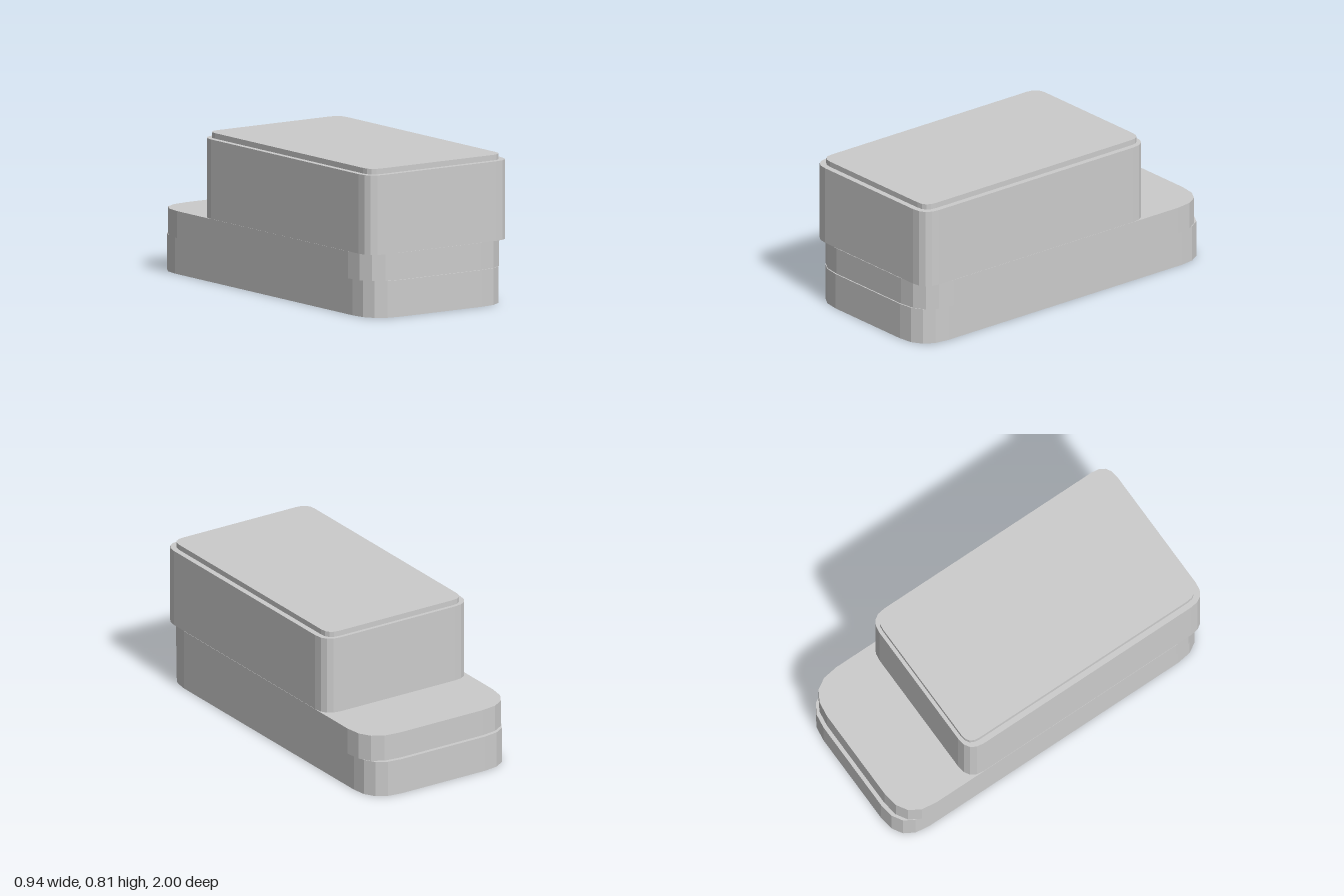
import * as THREE from 'three';

const grey = () => new THREE.MeshStandardMaterial({ color: 0xcccccc, flatShading: true, side: THREE.DoubleSide });

// Rectangle in plan with curved corners; shape y is -z
function plan(halfX, zBack, zFront, r) {
  const s = new THREE.Shape(), x = halfX, a = -zFront, b = -zBack;
  s.moveTo(-x + r, a);
  s.lineTo(x - r, a);
  s.quadraticCurveTo(x, a, x, a + r);
  s.lineTo(x, b - r);
  s.quadraticCurveTo(x, b, x - r, b);
  s.lineTo(-x + r, b);
  s.quadraticCurveTo(-x, b, -x, b - r);
  s.lineTo(-x, a + r);
  s.quadraticCurveTo(-x, a, -x + r, a);
  return s;
}

// Upright block from y0 to y1
function block(shape, y0, y1) {
  return new THREE.ExtrudeGeometry(shape, { depth: y1 - y0, bevelEnabled: false, curveSegments: 4 })
    .rotateX(-Math.PI / 2).translate(0, y0, 0);
}

export function createModel() {
  const group = new THREE.Group();
  const add = (name, geometry) => {
    const mesh = new THREE.Mesh(geometry, grey());
    mesh.name = name;
    group.add(mesh);
  };

  // Hollow base: side walls only, open underneath
  const baseShape = plan(0.455, -1, 1, 0.185);
  const solid = block(baseShape, 0, 0.2);
  const wall = new THREE.BufferGeometry();
  const start = solid.groups[1].start * 3;
  wall.setAttribute('position', new THREE.BufferAttribute(solid.attributes.position.array.slice(start), 3));
  wall.computeVertexNormals();
  add('baseWall', wall);
  add('baseCeiling', new THREE.ShapeGeometry(baseShape, 4).rotateX(-Math.PI / 2).translate(0, 0.2, 0));

  // Stacked tiers
  add('lowerBody', block(plan(0.47, -0.978, 0.993, 0.2), 0.2, 0.347));
  add('upperBody', block(plan(0.4685, -0.565, 0.99, 0.1), 0.347, 0.78));
  add('lid', block(plan(0.437, -0.545, 0.957, 0.07), 0.78, 0.81));

  return group;
}
